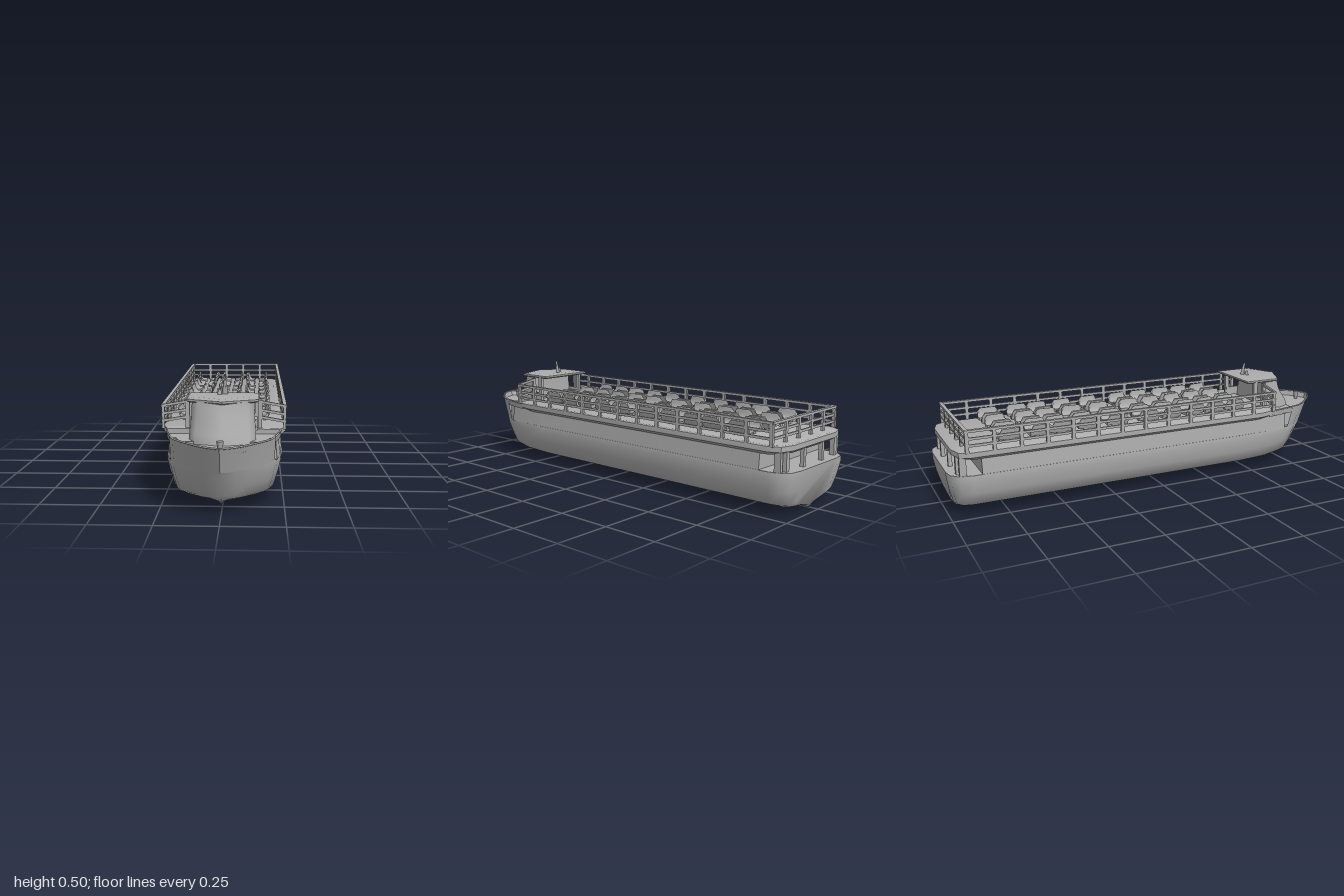
import * as THREE from 'three';
import { toCreasedNormals } from 'three/addons/utils/BufferGeometryUtils.js';

const grey = new THREE.MeshStandardMaterial({ color: 0xacacac, side: THREE.DoubleSide });
grey.name = 'plain grey';

export function createModel() {
  const boat = new THREE.Group();
  boat.name = 'passengerBoat';

  const add = (name, geometry, x = 0, y = 0, z = 0, parent = boat) => {
    const mesh = new THREE.Mesh(geometry, grey);
    mesh.name = name;
    mesh.position.set(x, y, z);
    parent.add(mesh);
    return mesh;
  };
  const box = (name, w, h, d, x, y, z, parent) => add(name, new THREE.BoxGeometry(w, h, d), x, y, z, parent);

  // Skin between rows of points; optional end caps and closed rows
  const loft = (rows, { close = false, capStart = false, capEnd = false, crease = 0.6 } = {}) => {
    const n = rows[0].length, index = [];
    for (let i = 0; i < rows.length - 1; i++) {
      for (let j = 0; j < (close ? n : n - 1); j++) {
        const k = (j + 1) % n, a = i * n + j, b = i * n + k, c = a + n, d = b + n;
        index.push(a, b, c, b, d, c);
      }
    }
    const cap = (start, flip) => {
      for (let j = 1; j < n - 1; j++) index.push(start, start + j + (flip ? 1 : 0), start + j + (flip ? 0 : 1));
    };
    if (capStart) cap(0, true);
    if (capEnd) cap((rows.length - 1) * n, false);
    const g = new THREE.BufferGeometry();
    g.setAttribute('position', new THREE.Float32BufferAttribute(rows.flat(2), 3));
    g.setIndex(index);
    return toCreasedNormals(g, crease);
  };

  // Hull: station = [z at the sheer, width factor], level = [y, half width]
  const stations = [[-0.997, 0.6], [-0.988, 0.82], [-0.955, 0.96], [-0.9, 1], [-0.3, 1], [0.45, 1], [0.64, 0.95],
    [0.76, 0.85], [0.82, 0.77], [0.92, 0.45], [0.97, 0.24], [1, 0]];
  const hullPoint = ([z, f], [y, x], side) => {
    let pz = z, py = y;
    if (z > 0.4) pz -= (0.3 - y) * 0.44 * (z - 0.4) / 0.6;
    if (z < -0.9) pz += Math.max(0, 0.15 - y) * 0.26 * (-0.9 - z) / 0.09;
    if (z > 0.5) py += 0.045 * ((z - 0.5) / 0.5) ** 2 * Math.max(0, 1 - y / 0.19);
    return [side * x * f, py, pz];
  };
  const levels = [[0.195, 0.247], [0.17, 0.25], [0.11, 0.236], [0.055, 0.22], [0.04, 0.18], [0.022, 0.04]];
  const hullRows = stations.map(s => [
    ...levels.map(l => hullPoint(s, l, -1)),
    hullPoint(s, [0.004, 0], 1),
    ...levels.slice().reverse().map(l => hullPoint(s, l, 1)),
  ]);
  add('hull', loft(hullRows, { capStart: true, crease: 1.4 }));
  const flatDeck = (from, y, x) => loft(from.map(s => [hullPoint(s, [y, x], 1), hullPoint(s, [y, x], -1)]));
  add('lowerDeck', flatDeck(stations, 0.195, 0.246));
  const bowStations = stations.slice(7);
  const foreStations = [[0.6, 0.965], ...stations.slice(6)];
  add('foreDeck', flatDeck(foreStations, 0.272, 0.248));

  // Bow bulwark with a boarding gap on each side, and a rim on top
  for (const side of [-1, 1]) {
    const strip = (list, y0, y1) => loft(list.map(s => {
      const row = [hullPoint(s, [y0, 0.247], side), hullPoint(s, [y1, 0.25], side)];
      return side > 0 ? row : row.reverse();
    }), { crease: 1.2 });
    add('bowBulwark', strip(bowStations, 0.195, 0.3));
    add('bulwarkStrip', strip(foreStations.slice(0, 3), 0.268, 0.3));
    const rim = new THREE.CatmullRomCurve3(foreStations.map(s => new THREE.Vector3(...hullPoint(s, [0.298, 0.248], side))), false, 'centripetal');
    add('bulwarkRim', new THREE.TubeGeometry(rim, 32, 0.004, 6));
  }

  // Lower cabin, narrowing into the boarding recess
  const cabin = [[-0.86, 0.237], [0.45, 0.237], [0.62, 0.226], [0.71, 0.212], [0.712, 0.19], [0.79, 0.165]];
  add('cabin', loft(cabin.map(([z, w]) => [[w + 0.008, 0.19, z], [w, 0.28, z], [-w, 0.28, z], [-w - 0.008, 0.19, z]]),
    { close: true, capStart: true, capEnd: true }));

  // Upper deck slab with a bevelled edge and clipped stern corners
  const deckOutline = inset => [[0.235, 0.63], [0.258, 0.55], [0.258, -0.91], [0.235, -0.955], [0.17, -0.975]]
    .map(([x, z]) => [x - inset, z + (z < 0 ? inset : -inset)]);
  const deckRing = (y, inset) => {
    const half = deckOutline(inset);
    return [...half, ...half.slice().reverse().map(([x, z]) => [-x, z])].map(([x, z]) => [x, y, z]);
  };
  add('upperDeck', loft([deckRing(0.262, 0.022), deckRing(0.278, 0), deckRing(0.3, 0), deckRing(0.304, 0.006)],
    { close: true, capStart: true, capEnd: true, crease: 0.7 }));

  // Stern pillars around the open aft deck
  for (const side of [-1, 1]) {
    box('sternPillar', 0.018, 0.085, 0.018, side * 0.075, 0.233, -0.962);
    box('sternPillar', 0.022, 0.085, 0.022, side * 0.195, 0.233, -0.953);
    box('sternPillar', 0.016, 0.085, 0.03, side * 0.228, 0.233, -0.94);
  }

  // Railing around the upper deck
  const railing = new THREE.Group();
  railing.name = 'railing';
  boat.add(railing);
  const railHeights = [0.394, 0.36, 0.33];
  for (const side of [-1, 1]) {
    for (let i = 0; i < 14; i++) box('railPost', 0.012, 0.1, 0.016, side * 0.252, 0.348, 0.61 - i * 0.1178, railing);
    railHeights.forEach((y, i) => {
      box('sideRail', i ? 0.008 : 0.016, 0.011, 1.545, side * 0.252, y, -0.155, railing);
      const wing = box('wingRail', 0.115, 0.011, 0.01, side * 0.202, y + 0.01, 0.615, railing);
      wing.rotation.z = -side * 0.17;
    });
    box('wingPost', 0.018, 0.12, 0.014, side * 0.15, 0.36, 0.615, railing);
  }
  railHeights.forEach((y, i) => box('rearRail', 0.51, 0.011, i ? 0.008 : 0.016, 0, y, -0.923, railing));
  for (let i = 1; i < 5; i++) box('rearPost', 0.016, 0.1, 0.012, -0.252 + i * 0.1008, 0.348, -0.923, railing);

  // Seats: a curved shell on a foot, in rows of six
  const shell = new THREE.Shape();
  shell.moveTo(-0.023, 0.018);
  shell.lineTo(0.008, 0.016);
  shell.quadraticCurveTo(0.018, 0.03, 0.023, 0.066);
  shell.lineTo(0.013, 0.068);
  shell.quadraticCurveTo(0.01, 0.036, 0, 0.03);
  shell.lineTo(-0.023, 0.03);
  const seatGeometry = new THREE.ExtrudeGeometry(shell, { depth: 0.1, bevelEnabled: false, curveSegments: 4 });
  seatGeometry.translate(0, 0, -0.05);
  // Round the upper corners of the backrest
  const p = seatGeometry.attributes.position;
  for (let i = 0; i < p.count; i++) if (p.getY(i) > 0.05) p.setZ(i, p.getZ(i) * 0.72);
  const smoothSeat = toCreasedNormals(seatGeometry, 0.9);
  const footGeometry = new THREE.BoxGeometry(0.014, 0.02, 0.05);
  const seats = new THREE.Group();
  seats.name = 'seats';
  boat.add(seats);
  for (const z of [-0.72, -0.58, -0.48, -0.35, -0.21, -0.05, 0.07, 0.195, 0.305, 0.42]) {
    [-0.18, -0.11, -0.038, 0.032, 0.1, 0.17].forEach((x, i) => {
      const seat = add('seat', smoothSeat, x, 0.302, z, seats);
      seat.rotation.y = (i % 2 ? 0 : Math.PI) + 0.12 * Math.sin(z * 40 + i * 2);
      add('seatFoot', footGeometry, x, 0.311, z, seats);
    });
  }

  // Wheelhouse: raked front, rounded plan, open bay behind
  const houseRing = (y, half, front, rear) => [
    [-half, y, rear], [-half, y, front - 0.09], [-half * 0.8, y, front - 0.035], [0, y, front],
    [half * 0.8, y, front - 0.035], [half, y, front - 0.09], [half, y, rear],
  ];
  add('wheelhouse', loft([houseRing(0.27, 0.135, 0.835, 0.64), houseRing(0.31, 0.133, 0.82, 0.64),
    houseRing(0.37, 0.128, 0.78, 0.645), houseRing(0.428, 0.127, 0.762, 0.645)],
  { close: true, capEnd: true, crease: 1 }));
  for (const side of [-1, 1]) {
    box('wheelhousePillar', 0.014, 0.13, 0.022, side * 0.136, 0.363, 0.575);
    box('wheelhouseSidePanel', 0.012, 0.045, 0.08, side * 0.134, 0.322, 0.61);
  }

  // Roof with a pointed front edge
  const roofRing = (y, inset) => [[-0.145 + inset, y, 0.525 + inset], [-0.145 + inset, y, 0.705 - inset], [0, y, 0.772 - inset],
    [0.145 - inset, y, 0.705 - inset], [0.145 - inset, y, 0.525 + inset]];
  add('wheelhouseRoof', loft([roofRing(0.422, 0.008), roofRing(0.428, 0), roofRing(0.436, 0), roofRing(0.441, 0.03)],
    { close: true, capStart: true, capEnd: true, crease: 0.4 }));

  // Mast, horn and bow bollard
  const mast = add('mast', new THREE.CylinderGeometry(0.005, 0.014, 0.068, 4), 0.004, 0.467, 0.592);
  mast.rotation.x = 0.18;
  add('horn', new THREE.CylinderGeometry(0.005, 0.011, 0.024, 5), -0.018, 0.45, 0.6);
  add('bowBollard', new THREE.CylinderGeometry(0.014, 0.008, 0.042, 8), 0, 0.293, 0.935);

  return boat;
}
